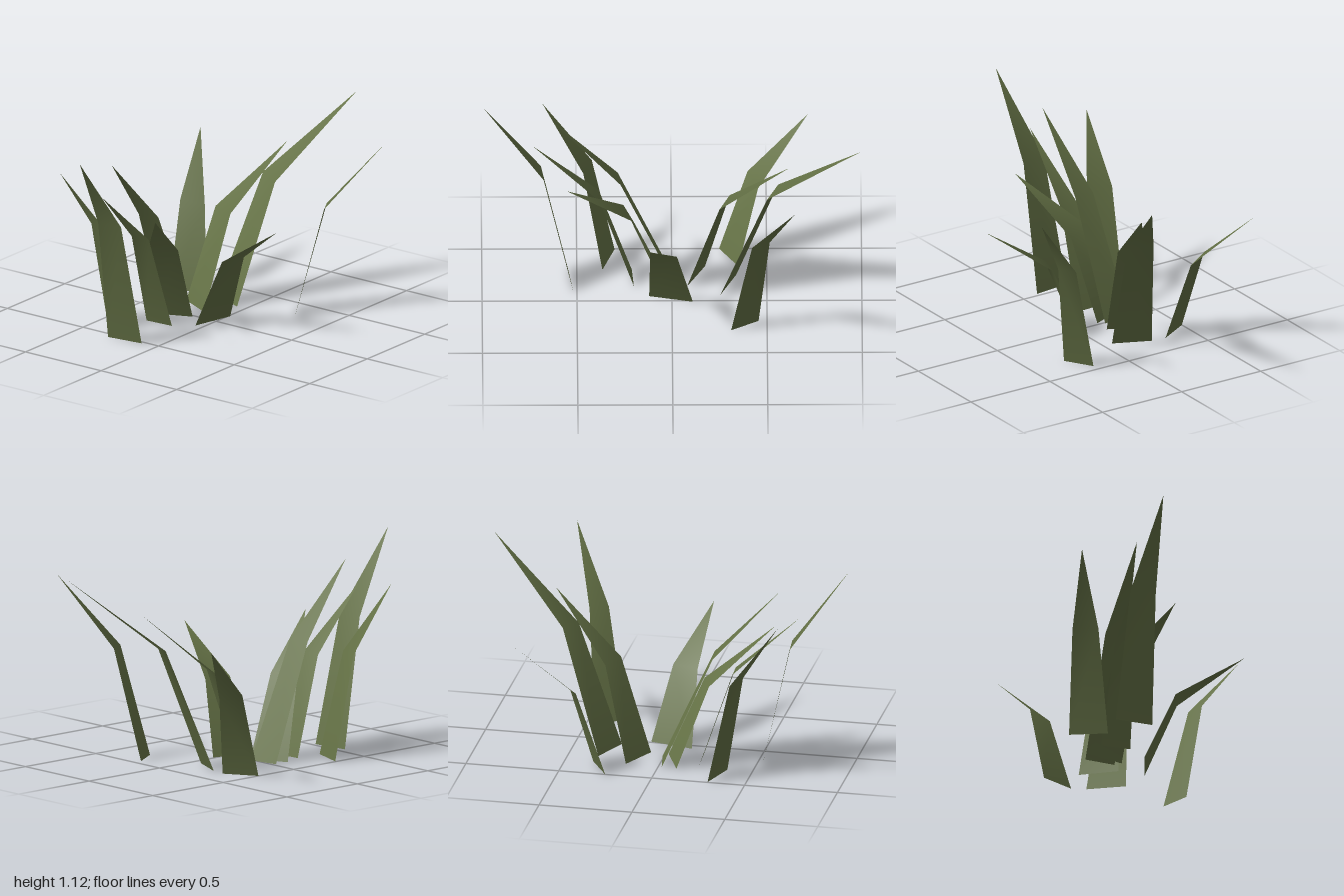
import * as THREE from 'three';

// Each blade: base edge, bent middle edge, then tip, as [x, y, z] corners
const BLADES = {
  backLeftOuterBlade: [[-0.5, 0, -0.25], [-0.33, 0, -0.35], [-0.54, 0.46, -0.4], [-0.42, 0.43, -0.455], [-0.65, 0.75, -0.72]],
  backTallBlade: [[-0.25, 0, -0.34], [-0.055, 0, -0.255], [-0.115, 0.655, -0.56], [0.01, 0.64, -0.5], [0.18, 1.05, -0.99]],
  backInnerBlade: [[-0.33, 0, -0.175], [-0.138, 0, -0.08], [-0.235, 0.51, -0.305], [-0.095, 0.51, -0.25], [0.0, 0.835, -0.62]],
  backOuterBlade: [[0.195, 0, -0.455], [0.285, 0, -0.31], [0.343, 0.59, -0.513], [0.395, 0.59, -0.42], [0.647, 0.965, -0.645]],
  sideBlade: [[-0.045, 0, 0.12], [0.01, 0, -0.11], [0.127, 0.388, 0.115], [0.165, 0.385, -0.025], [0.495, 0.63, 0.125]],
  frontTallBlade: [[-0.3, 0, 0.545], [-0.097, 0, 0.52], [-0.255, 0.685, 0.69], [-0.115, 0.685, 0.675], [-0.148, 1.115, 0.99]],
  frontOuterBlade: [[-0.495, 0, 0.3], [-0.3, 0, 0.365], [-0.505, 0.555, 0.42], [-0.375, 0.555, 0.465], [-0.515, 0.905, 0.68]],
  innerTallBlade: [[-0.34, 0, 0.02], [-0.175, 0, -0.01], [-0.295, 0.615, 0.285], [-0.175, 0.615, 0.27], [-0.207, 1.0, 0.635]],
  innerShortBlade: [[-0.343, 0, 0.1], [-0.143, 0, 0.016], [-0.25, 0.44, 0.255], [-0.1, 0.43, 0.2], [0.02, 0.705, 0.555]],
  innerFrontBlade: [[-0.3, 0, 0.21], [-0.14, 0, 0.2], [-0.265, 0.525, 0.385], [-0.155, 0.525, 0.38], [-0.195, 0.85, 0.735]],
};

// Flat tapering strip: a quad up to the bend and a triangle to the tip
function bladeGeometry(corners) {
  const geometry = new THREE.BufferGeometry();
  geometry.setAttribute('position', new THREE.Float32BufferAttribute(corners.flat(), 3));
  geometry.setIndex([0, 1, 3, 0, 3, 2, 2, 3, 4]);
  geometry.computeVertexNormals();
  return geometry;
}

export function createModel() {
  const group = new THREE.Group();
  group.name = 'grassTuft';
  const grass = new THREE.MeshStandardMaterial({ color: 0x657246, side: THREE.DoubleSide });
  grass.name = 'olive grass';

  for (const [name, corners] of Object.entries(BLADES)) {
    const blade = new THREE.Mesh(bladeGeometry(corners), grass);
    blade.name = name;
    group.add(blade);
  }
  return group;
}
